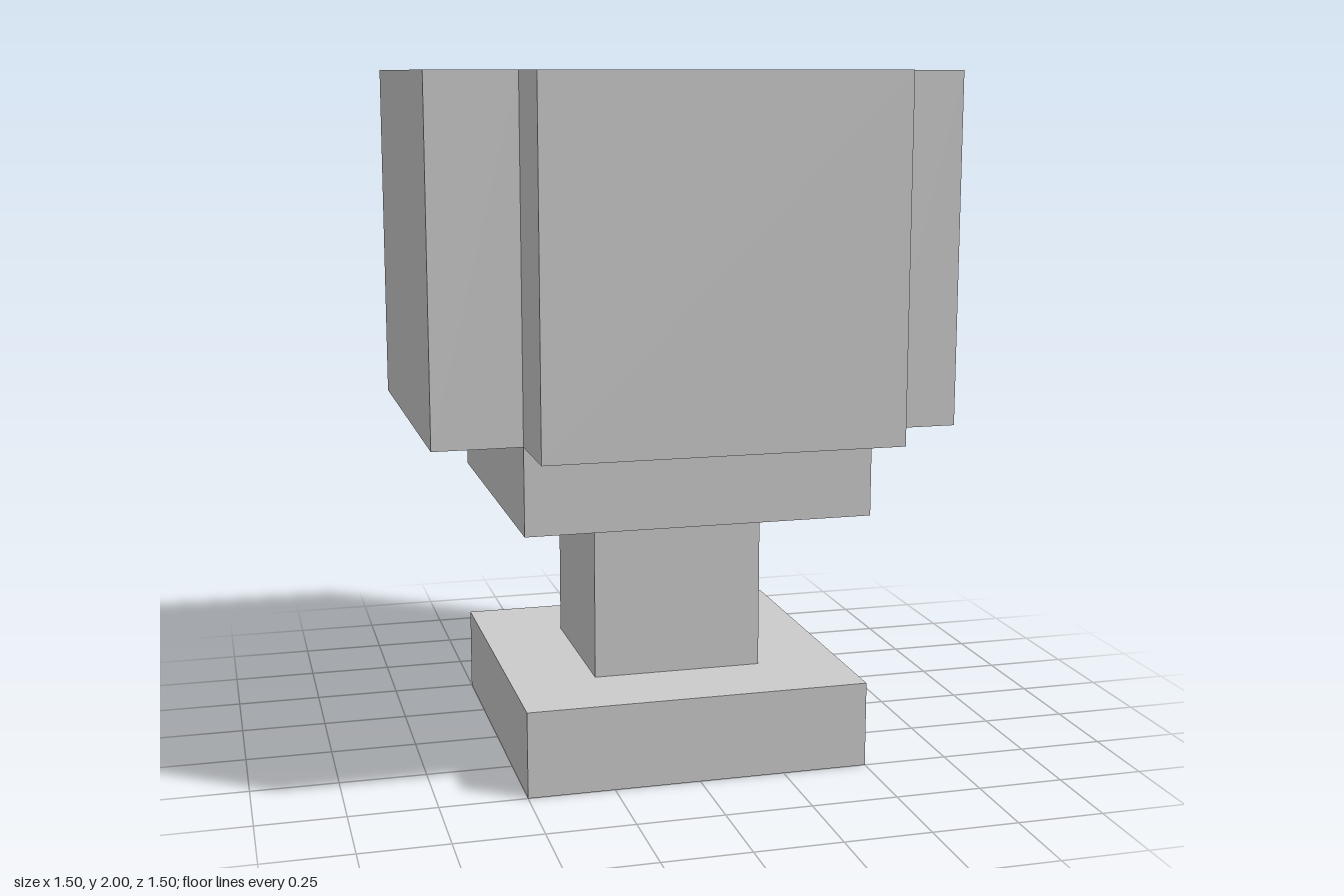
import * as THREE from 'three';

export function createModel() {
  const model = new THREE.Group();
  model.name = 'goblet';
  const material = new THREE.MeshStandardMaterial({ color: 0xcccccc, flatShading: true });

  // Box standing on height y
  const addBlock = (name, width, height, depth, y, parent = model) => {
    const mesh = new THREE.Mesh(new THREE.BoxGeometry(width, height, depth), material);
    mesh.name = name;
    mesh.position.y = y + height / 2;
    parent.add(mesh);
    return mesh;
  };

  // Foot, stem and floor of the cup, stacked
  addBlock('foot', 1, 0.25, 1, 0);
  addBlock('stem', 0.5, 0.5, 0.5, 0.25);
  addBlock('cupFloor', 1, 0.25, 1, 0.75);

  // Four walls around the open cup, meeting only at their inner corners
  const walls = new THREE.Group();
  walls.name = 'cupWalls';
  model.add(walls);
  ['frontWall', 'leftWall', 'backWall', 'rightWall'].forEach((name, i) => {
    const angle = (i * Math.PI) / 2;
    const wall = addBlock(name, 1, 1, 0.25, 1, walls);
    wall.position.x = Math.sin(angle) * 0.625;
    wall.position.z = Math.cos(angle) * 0.625;
    wall.rotation.y = angle;
  });

  return model;
}
